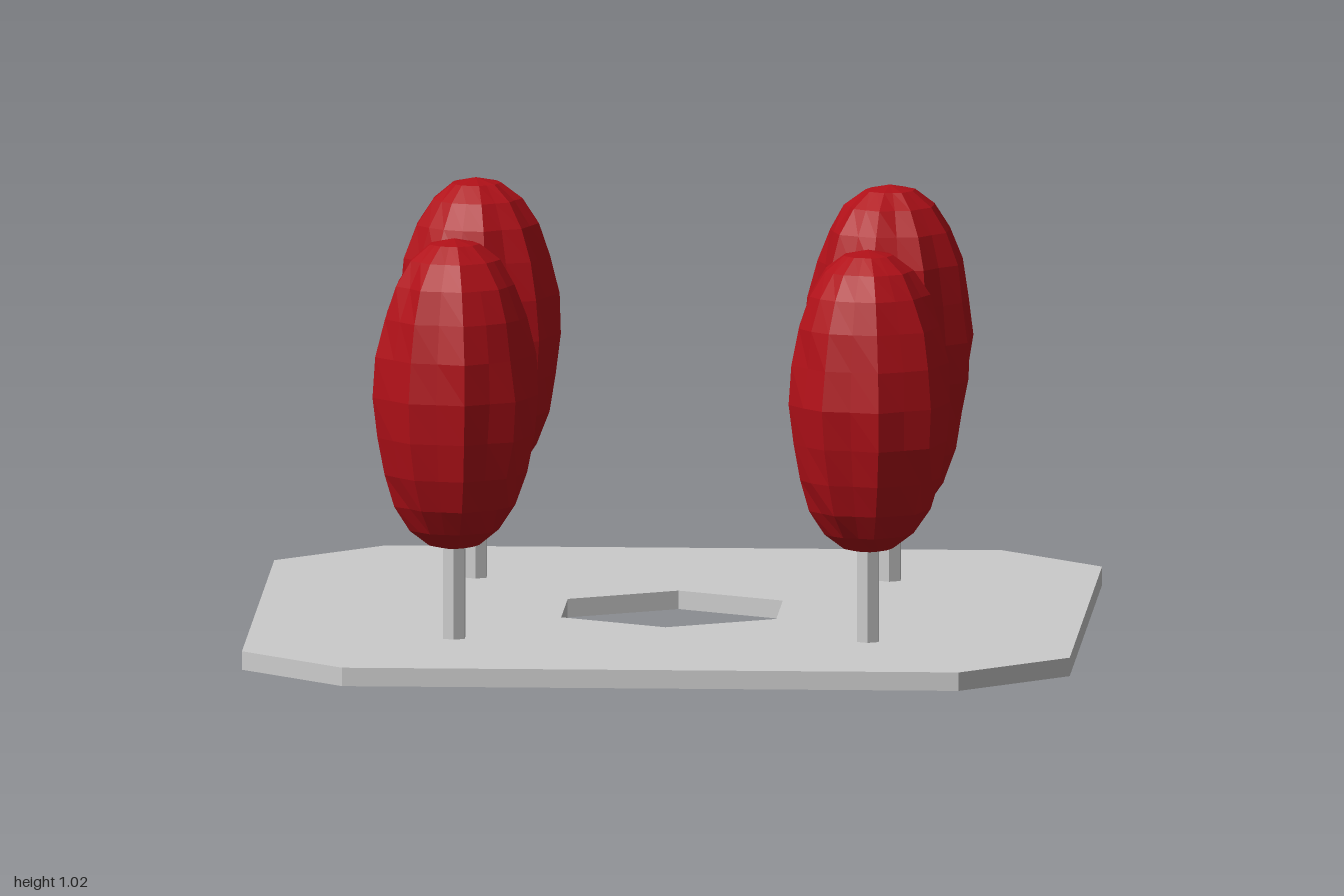
import * as THREE from 'three';

const grey = new THREE.MeshStandardMaterial({ color: 0xcccccc, flatShading: true });
const red = new THREE.MeshStandardMaterial({ color: 0xb01018, flatShading: true });
const PLATE = 0.045;

// Small seeded generator returning values in -1..1
function seeded(seed) {
  let s = seed;
  return () => {
    s = (s * 16807) % 2147483647;
    return (s / 2147483647) * 2 - 1;
  };
}

// Square plate with cut corners and a hexagonal hole
function makeBase() {
  const c = 0.745;
  const shape = new THREE.Shape([
    [c, -1], [1, -c], [1, c], [c, 1], [-c, 1], [-1, c], [-1, -c], [-c, -1],
  ].map(([x, y]) => new THREE.Vector2(x, y)));
  const hole = [];
  for (let i = 0; i < 6; i++) {
    const a = Math.PI / 2 - (i * Math.PI) / 3;
    hole.push(new THREE.Vector2(0.3 * Math.cos(a), 0.3 * Math.sin(a)));
  }
  shape.holes.push(new THREE.Path(hole));
  const geo = new THREE.ExtrudeGeometry(shape, { depth: PLATE, bevelEnabled: false });
  geo.rotateX(-Math.PI / 2);
  const mesh = new THREE.Mesh(geo, grey);
  mesh.name = 'basePlate';
  return mesh;
}

// Tall faceted crown: a sphere with uneven vertical ribs and rough facets
function makeCrown({ seed, top, droop }) {
  const cols = 18, rows = 12, bottom = 0.26;
  const rand = seeded(seed);
  const ribs = Array.from({ length: cols }, (_, i) => 0.975 + (i % 2 ? 0.03 : -0.03) + 0.025 * rand());
  const geo = new THREE.SphereGeometry(1, cols, rows);
  const pos = geo.attributes.position;
  const half = (top - bottom) / 2;
  for (let r = 0; r <= rows; r++) {
    const t = (r / rows) * Math.PI;
    const rough = Array.from({ length: cols }, () => 0.03 * rand());
    const ring = Math.pow(Math.sin(t), 0.88) || 0;
    for (let c = 0; c <= cols; c++) {
      const k = c % cols;
      const a = (k / cols) * Math.PI * 2;
      const radius = r % rows === 0 ? 0 : 0.2 * ring * (ribs[k] + rough[k]);
      let x = radius * Math.cos(a), z = radius * Math.sin(a);
      let y = bottom + half + half * Math.cos(t);
      // Pull the underside into an off-centre point
      if (droop) {
        const d = Math.max(0, -Math.cos(t) - 0.6) / 0.4;
        x += 0.04 * d;
        y -= droop * d;
      }
      pos.setXYZ(r * (cols + 1) + c, -x, y, z);
    }
  }
  geo.computeVertexNormals();
  const mesh = new THREE.Mesh(geo, red);
  mesh.name = 'crown';
  return mesh;
}

// Six-sided trunk carrying a crown
function makeTree(spec) {
  const tree = new THREE.Group();
  tree.name = spec.name;
  const height = 0.26;
  const trunk = new THREE.Mesh(new THREE.CylinderGeometry(0.03, 0.03, height, 6), grey);
  trunk.position.y = PLATE - 0.005 + height / 2;
  trunk.name = 'trunk';
  tree.add(trunk, makeCrown(spec));
  tree.position.set(spec.x, 0, spec.z);
  return tree;
}

export function createModel() {
  const model = new THREE.Group();
  model.name = 'treePlaza';
  model.add(makeBase());
  const trees = [
    { name: 'frontLeftTree', x: 0.5, z: 0.5, seed: 1187, top: 1.0, droop: 0 },
    { name: 'frontRightTree', x: -0.5, z: 0.5, seed: 52361, top: 1.02, droop: 0 },
    { name: 'backLeftTree', x: 0.5, z: -0.5, seed: 90871, top: 1.01, droop: 0.04 },
    { name: 'backRightTree', x: -0.5, z: -0.5, seed: 334517, top: 1.02, droop: 0 },
  ];
  // The drooping point leans outward along +x
  for (const spec of trees) {
    const tree = makeTree(spec);
    if (spec.droop) tree.getObjectByName('crown').rotation.y = Math.PI;
    model.add(tree);
  }
  return model;
}
